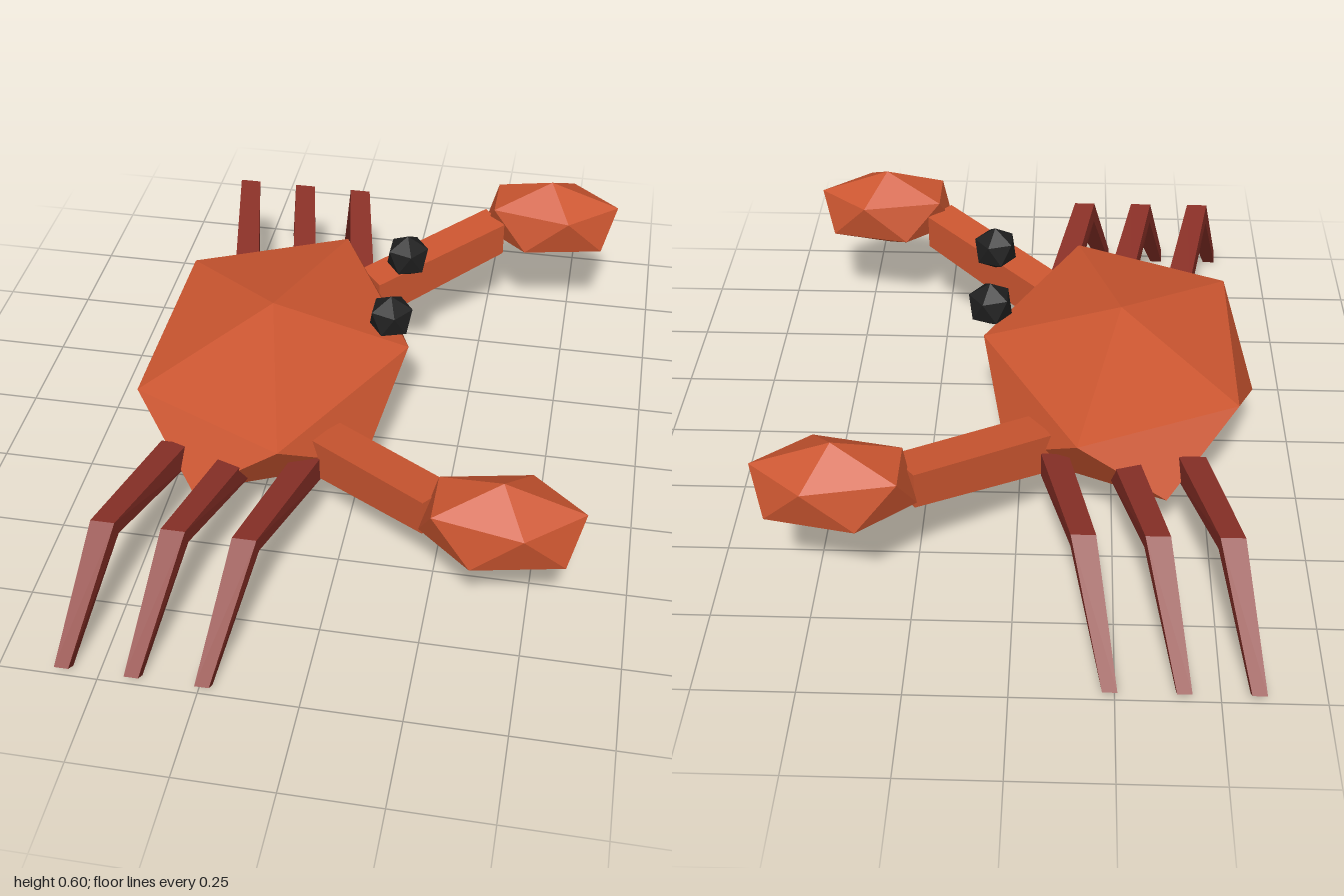
import * as THREE from 'three';
import { ConvexGeometry } from 'three/addons/geometries/ConvexGeometry.js';

const material = (name, color) => {
  const m = new THREE.MeshStandardMaterial({ color, flatShading: true });
  m.name = name;
  return m;
};
const V = (x, y, z) => new THREE.Vector3(x, y, z);

// Icosahedron standing on a pole, its upper ring pointing to +x
function gem(rx, ry, rz) {
  const points = [V(0, ry, 0), V(0, -ry, 0)];
  for (let i = 0; i < 10; i++) {
    const a = (i * Math.PI) / 5;
    const y = i % 2 ? -0.4472 : 0.4472;
    points.push(V(Math.cos(a) * rx * 0.8944, y * ry, Math.sin(a) * rz * 0.8944));
  }
  return new ConvexGeometry(points);
}

// Four corners around a centre, from two half-width vectors
function section(c, u, v) {
  return [[1, 1], [1, -1], [-1, -1], [-1, 1]].map(([a, b]) =>
    c.clone().addScaledVector(u, a).addScaledVector(v, b));
}

// Straight limb between two sections, mirrored across z by side
function limb(start, end, side) {
  return new ConvexGeometry([...start, ...end].map((p) => V(p.x, p.y, p.z * side)));
}

export function createModel() {
  const model = new THREE.Group();
  model.name = 'crab';
  const shell = material('orange shell', 0xcc5630);
  const legRed = material('dark red leg', 0x8a3027);
  const black = material('black eye', 0x1f1f1f);

  const add = (name, geometry, mat, x = 0, y = 0, z = 0) => {
    const mesh = new THREE.Mesh(geometry, mat);
    mesh.name = name;
    mesh.position.set(x, y, z);
    model.add(mesh);
  };

  // Flat faceted body
  add('body', gem(0.417, 0.183, 0.575), shell, -0.268, 0.263, 0.006);

  for (const side of [1, -1]) {
    const label = side > 0 ? 'left' : 'right';

    // Arm and claw
    const across = V(0.032, 0, -0.039);
    add(label + 'Arm', limb(
      section(V(-0.06, 0.253, 0.35), across, V(0, 0.058, 0)),
      section(V(0.27, 0.335, 0.615), across, V(0, 0.05, 0)), side), shell);
    add(label + 'Claw', gem(0.223, 0.123, 0.138), shell, 0.43, 0.367, 0.667 * side);

    // Floating eye
    add(label + 'Eye', gem(0.062, 0.062, 0.062), black, 0.077, 0.544, 0.14 * side);

    // Three bent legs
    for (let i = 0; i < 3; i++) {
      const x = i * 0.175;
      const hip = section(V(-0.447 + x, 0.232, 0.41), V(0.035, 0, 0), V(0, 0.035, 0));
      const knee = section(V(-0.52 + x, 0.298, 0.775), V(0.03, 0, 0), V(0, 0.026, 0.01));
      const foot = section(V(-0.588 + x, 0.016, 0.984), V(0.018, 0, 0), V(0, 0.012, 0.016));
      add(label + 'UpperLeg' + (i + 1), limb(hip, knee, side), legRed);
      add(label + 'LowerLeg' + (i + 1), limb(knee, foot, side), legRed);
    }
  }
  return model;
}
